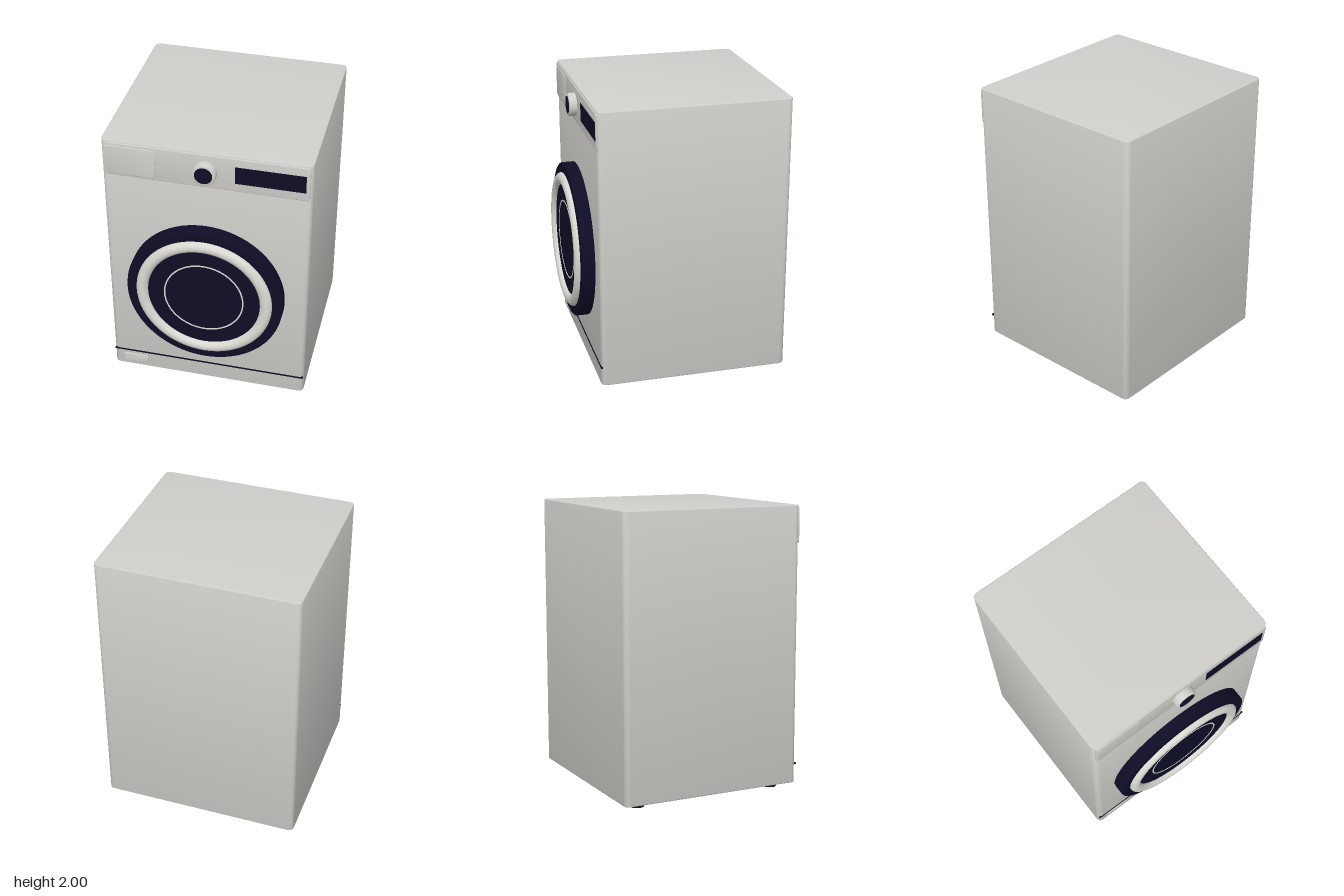
import * as THREE from 'three';
import { toCreasedNormals } from 'three/addons/utils/BufferGeometryUtils.js';

const material = (name, color) => {
  const m = new THREE.MeshStandardMaterial({ color });
  m.name = name;
  return m;
};

function roundedRect(w, h, r) {
  const s = new THREE.Shape(), x = w / 2, y = h / 2;
  s.absarc(x - r, y - r, r, 0, Math.PI / 2);
  s.absarc(-x + r, y - r, r, Math.PI / 2, Math.PI);
  s.absarc(-x + r, -y + r, r, Math.PI, Math.PI * 1.5);
  s.absarc(x - r, -y + r, r, Math.PI * 1.5, Math.PI * 2);
  s.closePath();
  return s;
}

// Rounded slab with a small bevel, running from z = 0 to z = depth
function slab(w, h, depth, r, bevel) {
  const g = new THREE.ExtrudeGeometry(roundedRect(w - 2 * bevel, h - 2 * bevel, r), {
    depth: depth - 2 * bevel, bevelEnabled: true, bevelSize: bevel,
    bevelThickness: bevel, bevelSegments: 3, curveSegments: 6,
  });
  g.translate(0, 0, bevel);
  return toCreasedNormals(g, 0.7);
}

// Turned part whose axis points forward; points are [radius, z]
function turned(points, segments = 80) {
  const g = new THREE.LatheGeometry(points.map(p => new THREE.Vector2(...p)), segments);
  g.rotateX(Math.PI / 2);
  return toCreasedNormals(g, 0.6);
}

export function createModel() {
  const group = new THREE.Group();
  const shell = material('shell grey', 0xd0cfcb);
  const trim = material('trim light grey', 0xdad8d2);
  const dark = material('dark navy', 0x0e0d26);

  const add = (name, geometry, mat, x = 0, y = 0, z = 0) => {
    const mesh = new THREE.Mesh(geometry, mat);
    mesh.name = name;
    mesh.position.set(x, y, z);
    group.add(mesh);
    return mesh;
  };

  // Cabinet, extruded upwards
  const cabinet = slab(1.41, 1.325, 1.96, 0.03, 0.006);
  cabinet.rotateX(-Math.PI / 2);
  add('cabinet', cabinet, shell, 0, 0.04, -0.0625);

  // Control panel with drawer, knob and display
  add('controlPanel', slab(1.38, 0.252, 0.015, 0.015, 0.004), shell, 0, 1.862, 0.592);
  add('detergentDrawer', slab(0.34, 0.215, 0.008, 0.012, 0.003), shell, -0.51, 1.858, 0.603);
  add('display', new THREE.BoxGeometry(0.465, 0.126, 0.008), dark, 0.432, 1.862, 0.606);
  add('knob', turned([[0.08, 0], [0.08, 0.05], [0.077, 0.056], [0.072, 0.058], [0, 0.058]], 48),
    shell, 0, 1.86, 0.602);
  add('knobCap', turned([[0.06, 0], [0.06, 0.005], [0, 0.005]], 48), dark, 0, 1.86, 0.658);

  // Door: dark rim, raised ring, glass and its thin accent ring
  const doorY = 0.865;
  add('doorRim', turned([[0.55, 0], [0.55, 0.078], [0.548, 0.086], [0.541, 0.092], [0, 0.092]]),
    dark, 0, doorY, 0.598);
  const ringProfile = [];
  for (let i = 0; i <= 14; i++) {
    const a = Math.PI * i / 14;
    ringProfile.push([0.4375 + 0.0425 * Math.cos(a), 0.037 * Math.sin(a)]);
  }
  add('doorRing', turned(ringProfile), trim, 0, doorY, 0.688);
  add('doorGlass', turned([[0.4, 0], [0.4, 0.004], [0, 0.004]]), dark, 0, doorY, 0.69);
  add('glassAccent', turned([[0.282, 0], [0.282, 0.004], [0.272, 0.004], [0.272, 0]]),
    trim, 0, doorY, 0.693);

  // Plinth seam and filter hatch
  add('plinthSeam', new THREE.BoxGeometry(1.4, 0.011, 0.012), dark, 0, 0.175, 0.598);
  add('filterHatch', slab(0.185, 0.075, 0.01, 0.01, 0.003), shell, -0.542, 0.107, 0.595);

  // Feet
  for (const x of [-0.575, 0.575]) {
    for (const z of [-0.585, 0.46]) {
      add('foot', new THREE.CylinderGeometry(0.05, 0.05, 0.045, 24), dark, x, 0.0225, z);
    }
  }
  return group;
}
